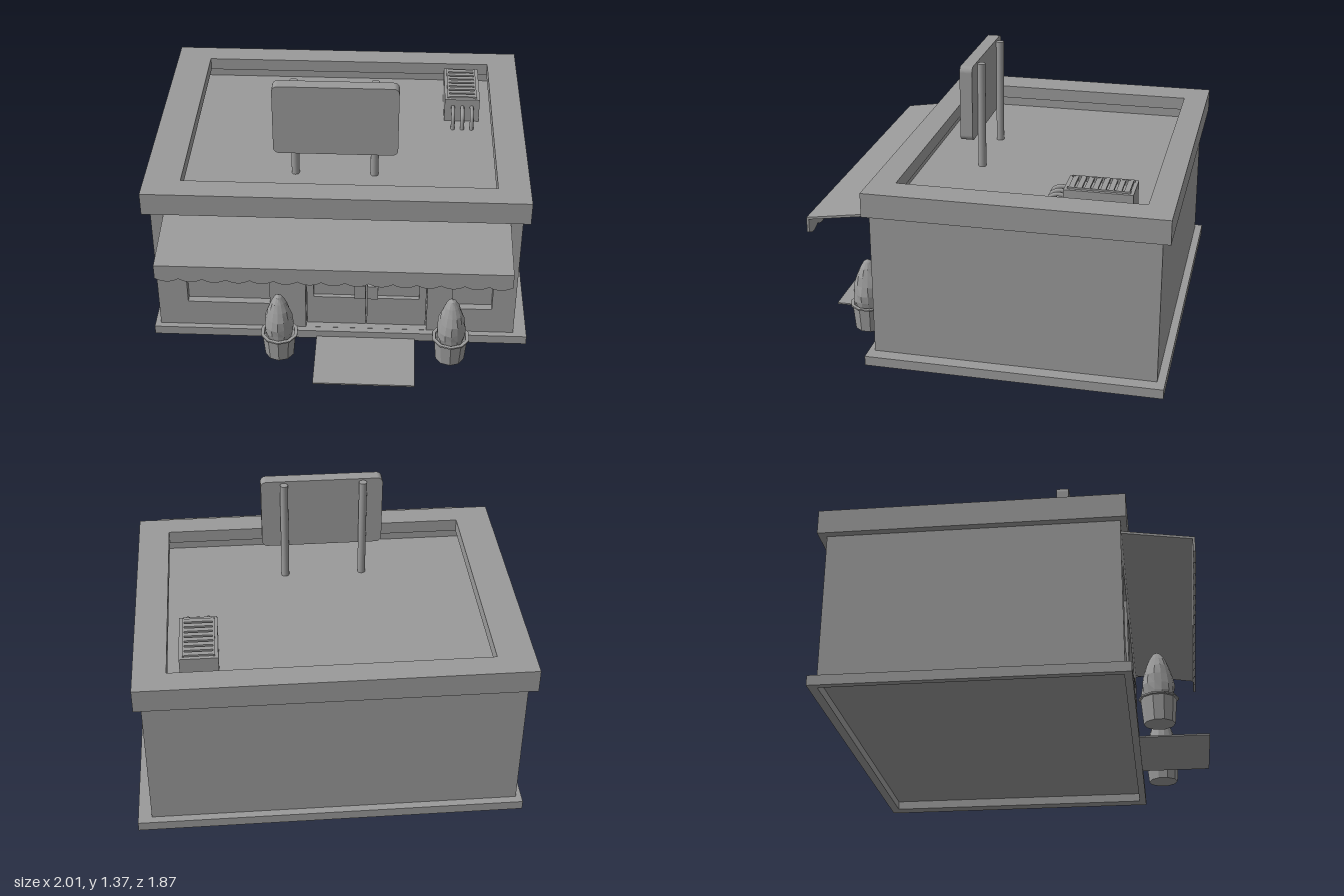
import * as THREE from 'three';

const GREY = 0x9a9a9a;
const mat = new THREE.MeshStandardMaterial({ color: GREY, side: THREE.DoubleSide });
const flat = new THREE.MeshStandardMaterial({ color: GREY, flatShading: true });

function add(parent, name, geometry, material = mat) {
  const mesh = new THREE.Mesh(geometry, material);
  mesh.name = name;
  parent.add(mesh);
  return mesh;
}

// Box given by its limits on each axis
function box(parent, name, x0, x1, y0, y1, z0, z1) {
  const mesh = add(parent, name, new THREE.BoxGeometry(x1 - x0, y1 - y0, z1 - z0));
  mesh.position.set((x0 + x1) / 2, (y0 + y1) / 2, (z0 + z1) / 2);
  return mesh;
}

function rect(Type, x0, x1, y0, y1) {
  const s = new Type();
  s.moveTo(x0, y0);
  s.lineTo(x1, y0);
  s.lineTo(x1, y1);
  s.lineTo(x0, y1);
  s.closePath();
  return s;
}

// Rectangular panel with rectangular openings, extruded along z
function panel(outer, holes, z0, z1) {
  const s = rect(THREE.Shape, ...outer);
  for (const h of holes) s.holes.push(rect(THREE.Path, ...h));
  return new THREE.ExtrudeGeometry(s, { depth: z1 - z0, bevelEnabled: false }).translate(0, 0, z0);
}

// Horizontal ring: limits in x and z, extruded along y
function ring([x0, x1, z0, z1], [a0, a1, b0, b1], y0, y1) {
  return panel([x0, x1, -z1, -z0], [[a0, a1, -b1, -b0]], y0, y1).rotateX(-Math.PI / 2);
}

function building() {
  const g = new THREE.Group();
  g.name = 'building';
  // The floor lies level with the top of the plinth, the roof with the foot of the parapet
  box(g, 'walls', -0.96, 0.93, 0.045, 0.796, -0.89, 0.48);
  add(g, 'basePlinth', ring([-0.99, 1, -0.93, 0.572], [-0.955, 0.925, -0.885, 0.535], 0, 0.05));

  // Parapet with an inner lip overhanging the roof
  const outline = [-1, 0.965, -0.93, 0.57];
  add(g, 'parapetWall', ring(outline, [-0.835, 0.825, -0.825, 0.465], 0.796, 0.85));
  add(g, 'parapetLip', ring(outline, [-0.81, 0.8, -0.8, 0.44], 0.85, 0.92));

  // Front wall with two windows and a doorway
  const windows = [[-0.803, -0.367, 0.205, 0.66], [0.598, 0.807, 0.205, 0.66]];
  const doorway = [-0.177, 0.465, 0.051, 0.66];
  add(g, 'shopFront', panel([-0.96, 0.93, 0.045, 0.8], [...windows, doorway], 0.48, 0.54));
  for (const [x0, x1, y0, y1] of windows) box(g, 'windowPane', x0, x1, y0, y1, 0.485, 0.5);

  // Double door, each leaf with a glazed opening and a square handle
  for (const side of [-1, 1]) {
    const c = 0.144 + side * 0.16;
    add(g, 'doorLeaf', panel([c - 0.157, c + 0.157, 0.05, 0.66],
      [[c - 0.12, c + 0.12, 0.23, 0.6]], 0.48, 0.503));
    const h = 0.144 + side * 0.033;
    box(g, 'doorHandle', h - 0.029, h + 0.029, 0.245, 0.33, 0.503, 0.53);
  }
  return g;
}

function awning() {
  const g = new THREE.Group();
  g.name = 'awning';
  const x0 = -0.893, x1 = 0.868, t = 0.012;

  // Sloping sheet, profile drawn in z and y
  const s = new THREE.Shape();
  s.moveTo(0.53, 0.777);
  s.lineTo(0.89, 0.723);
  s.lineTo(0.89, 0.723 - t);
  s.lineTo(0.53, 0.777 - t);
  s.closePath();
  add(g, 'awningSheet', new THREE.ExtrudeGeometry(s, { depth: x1 - x0, bevelEnabled: false })
    .rotateY(-Math.PI / 2).translate(x1, 0, 0));

  // Hanging valance with a scalloped lower edge
  const v = new THREE.Shape();
  const n = 15, w = (x1 - x0) / n;
  v.moveTo(x0, 0.722);
  v.lineTo(x0, 0.645);
  for (let i = 0; i < n; i++) {
    const x = x0 + i * w;
    v.quadraticCurveTo(x + w / 2, 0.608, x + w, 0.645);
  }
  v.lineTo(x1, 0.722);
  v.closePath();
  add(g, 'valance', new THREE.ExtrudeGeometry(v, { depth: t, bevelEnabled: false, curveSegments: 6 })
    .translate(0, 0, 0.89 - t));
  return g;
}

function signBoard() {
  const g = new THREE.Group();
  g.name = 'signBoard';
  const x0 = -0.352, x1 = 0.292, y0 = 0.973, y1 = 1.37, r = 0.03;
  const s = new THREE.Shape();
  s.absarc(x1 - r, y1 - r, r, 0, Math.PI / 2);
  s.absarc(x0 + r, y1 - r, r, Math.PI / 2, Math.PI);
  s.absarc(x0 + r, y0 + r, r, Math.PI, Math.PI * 1.5);
  s.absarc(x1 - r, y0 + r, r, Math.PI * 1.5, Math.PI * 2);
  add(g, 'signPanel', new THREE.ExtrudeGeometry(s, { depth: 0.065, bevelEnabled: false, curveSegments: 5 })
    .translate(0, 0, 0.182));
  for (const x of [-0.245, 0.171]) {
    const pole = add(g, 'signPole', new THREE.CylinderGeometry(0.021, 0.021, 0.57, 16));
    pole.position.set(x, 1.075, 0.162);
  }
  return g;
}

function coolingUnit() {
  const g = new THREE.Group();
  g.name = 'coolingUnit';
  box(g, 'unitBody', 0.547, 0.74, 0.79, 0.915, -0.72, -0.38);
  add(g, 'unitRim', ring([0.547, 0.74, -0.72, -0.38], [0.568, 0.717, -0.7, -0.4], 0.915, 0.934));
  // Grille of broad flat slats held between two side rails
  for (const x of [0.567, 0.718]) box(g, 'sideRail', x - 0.005, x + 0.005, 0.93, 0.943, -0.705, -0.395);
  for (let i = 0; i < 8; i++) {
    const z = -0.685 + i * 0.0386;
    box(g, 'slat', 0.57, 0.716, 0.93, 0.942, z - 0.013, z + 0.013);
  }
  // Pipes bending from the unit down to the roof
  for (const x of [0.593, 0.645, 0.697]) {
    const path = new THREE.CatmullRomCurve3([[0.885, -0.39], [0.89, -0.34], [0.87, -0.305], [0.79, -0.295]]
      .map(([y, z]) => new THREE.Vector3(x, y, z)));
    add(g, 'pipe', new THREE.TubeGeometry(path, 12, 0.011, 8));
  }
  return g;
}

function pottedBush(x) {
  const g = new THREE.Group();
  g.name = 'pottedBush';
  const v = (r, y) => new THREE.Vector2(r, y);
  add(g, 'pot', new THREE.LatheGeometry([v(0, 0), v(0.078, 0), v(0.09, 0.128), v(0.1, 0.13),
    v(0.1, 0.138), v(0.082, 0.138), v(0.08, 0.125), v(0, 0.125)], 10), flat);

  // Tapered foliage, made slightly uneven by a ripple
  const leaf = new THREE.LatheGeometry([v(0.07, 0.12), v(0.077, 0.16), v(0.078, 0.2), v(0.071, 0.25),
    v(0.057, 0.3), v(0.038, 0.345), v(0.019, 0.375), v(0, 0.388)], 14);
  const p = leaf.attributes.position;
  for (let i = 0; i < p.count; i++) {
    const a = Math.atan2(p.getZ(i), p.getX(i)), y = p.getY(i);
    const k = 1 + 0.04 * Math.sin(3 * a + y * 40) + 0.03 * Math.cos(5 * a - y * 70);
    p.setXYZ(i, p.getX(i) * k * 0.95, y, p.getZ(i) * k * 1.05);
  }
  add(g, 'foliage', leaf, flat);
  g.position.set(x, 0, 0.68);
  return g;
}

export function createModel() {
  const model = new THREE.Group();
  model.name = 'shop';
  model.add(building(), awning(), signBoard(), coolingUnit(), pottedBush(-0.307), pottedBush(0.59));
  box(model, 'doorMat', -0.12, 0.405, 0.004, 0.012, 0.56, 0.93);
  // The whole shop sits very slightly turned
  model.rotation.y = -0.004;
  return model;
}
